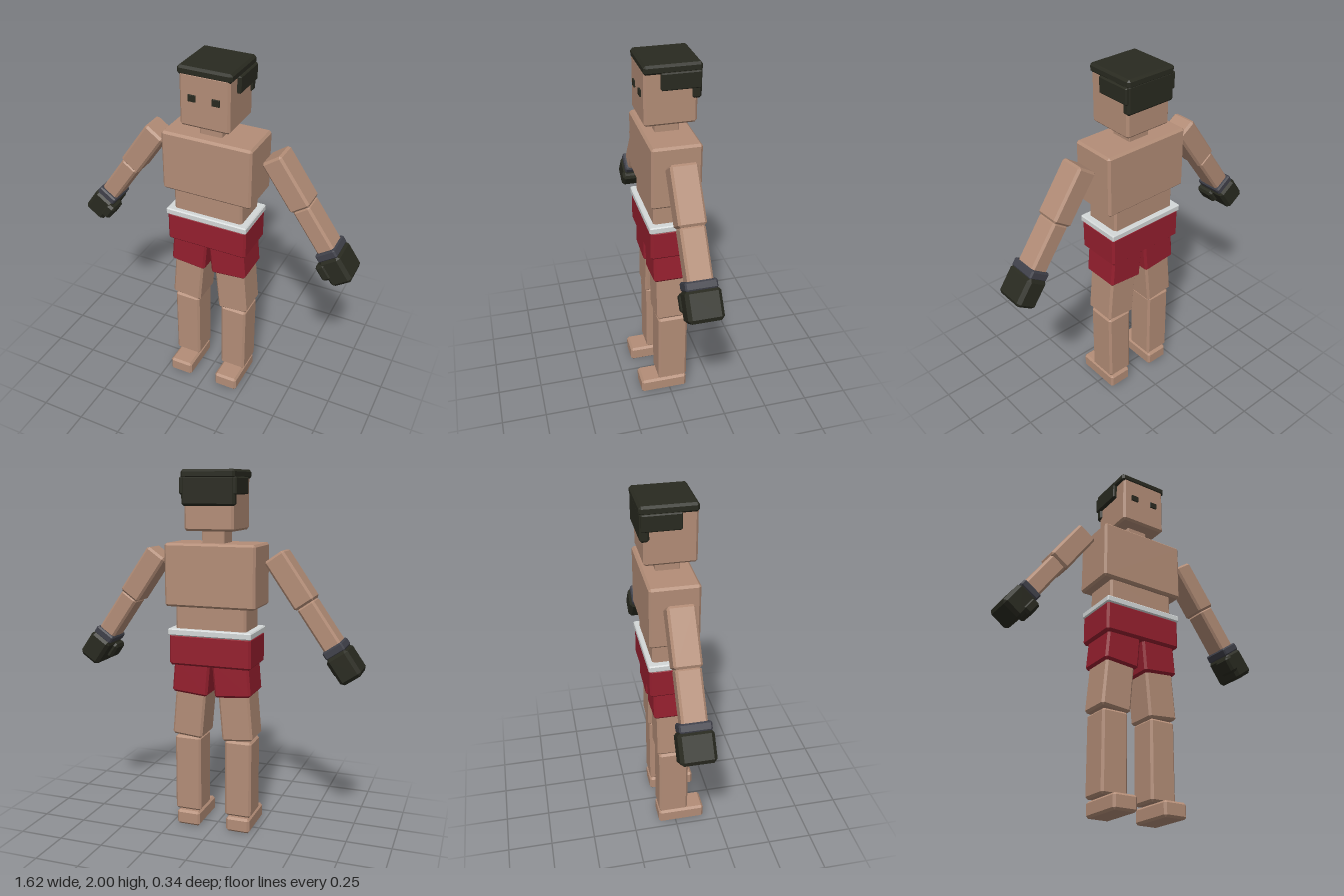
import * as THREE from 'three';
import { ConvexGeometry } from 'three/addons/geometries/ConvexGeometry.js';

const colour = (name, color) => {
  const m = new THREE.MeshStandardMaterial({ color });
  m.name = name;
  return m;
};

// Box with chamfered edges: three points for each of the eight corners
function chamferBox(w, h, d, c) {
  const points = [];
  for (const x of [-1, 1]) for (const y of [-1, 1]) for (const z of [-1, 1])
    for (let flat = 0; flat < 3; flat++) {
      points.push(new THREE.Vector3(
        x * (w / 2 - (flat === 0 ? 0 : c)),
        y * (h / 2 - (flat === 1 ? 0 : c)),
        z * (d / 2 - (flat === 2 ? 0 : c))));
    }
  return new ConvexGeometry(points);
}

export function createModel() {
  const skin = colour('skin', 0xb38d77);
  const red = colour('shorts red', 0x951f2e);
  const white = colour('waistband white', 0xd4d8d8);
  const dark = colour('hair and glove dark', 0x292a20);
  const grey = colour('cuff grey', 0x40414a);

  const model = new THREE.Group();
  model.name = 'boxer';

  // Adds a part from its extents along x, y and z
  function part(parent, name, material, [x0, x1], [y0, y1], [z0, z1], bevel = 0.012) {
    const mesh = new THREE.Mesh(chamferBox(x1 - x0, y1 - y0, z1 - z0, bevel), material);
    mesh.position.set((x0 + x1) / 2, (y0 + y1) / 2, (z0 + z1) / 2);
    mesh.name = name;
    parent.add(mesh);
    return mesh;
  }
  // Same, with the x extents mirrored for side s
  const sided = (s, a, b) => (s > 0 ? [a, b] : [-b, -a]);

  // Head and hair
  part(model, 'head', skin, [-0.137, 0.137], [1.685, 1.97], [-0.152, 0.121]);
  part(model, 'hairTop', dark, [-0.148, 0.148], [1.952, 2], [-0.172, 0.123]);
  part(model, 'hairBack', dark, [-0.147, 0.147], [1.815, 1.97], [-0.17, -0.12]);
  part(model, 'neck', skin, [-0.063, 0.063], [1.6, 1.7], [-0.08, 0.048], 0.004);

  // Trunk
  part(model, 'chest', skin, [-0.255, 0.255], [1.28, 1.62], [-0.15, 0.114]);
  part(model, 'waist', skin, [-0.2, 0.2], [1.14, 1.29], [-0.127, 0.092]);
  part(model, 'waistband', white, [-0.237, 0.237], [1.122, 1.16], [-0.153, 0.12], 0.006);
  part(model, 'shorts', red, [-0.233, 0.233], [0.957, 1.13], [-0.147, 0.114]);

  for (const s of [-1, 1]) {
    const side = s > 0 ? 'left' : 'right';

    // Side hair and eye
    part(model, side + 'HairSide', dark, sided(s, 0.12, 0.158), [1.873, 1.962], [-0.165, 0.038], 0.006);
    part(model, side + 'Eye', dark, sided(s, 0.044, 0.086), [1.826, 1.861], [0.1205, 0.129], 0.001);

    // Upper leg, leaning outwards towards the knee
    const upperLeg = new THREE.Group();
    upperLeg.name = side + 'UpperLeg';
    upperLeg.position.set(s * 0.148, 0.542, 0);
    upperLeg.rotation.z = s * 0.09;
    model.add(upperLeg);
    part(upperLeg, 'thigh', skin, [-0.088, 0.088], [0, 0.36], [-0.108, 0.079]);
    part(upperLeg, 'shortsLeg', red, [-0.103, 0.103], [0.252, 0.45], [-0.125, 0.095]);

    // Lower leg
    part(model, side + 'Shin', skin, sided(s, 0.072, 0.225), [0.094, 0.537], [-0.098, 0.07]);
    part(model, side + 'Foot', skin, sided(s, 0.08, 0.218), [0, 0.085], [-0.1, 0.17]);

    // Arm, hanging down local -y from the shoulder
    const arm = new THREE.Group();
    arm.name = side + 'Arm';
    arm.position.set(s * 0.33, 1.561, 0);
    arm.rotation.z = s * THREE.MathUtils.degToRad(35);
    model.add(arm);
    part(arm, 'upperArm', skin, [-0.061, 0.061], [-0.302, 0], [-0.088, 0.055]);
    part(arm, 'forearm', skin, [-0.051, 0.051], [-0.57, -0.298], [-0.081, 0.049]);
    part(arm, 'gloveCuff', grey, [-0.059, 0.059], [-0.605, -0.558], [-0.097, 0.066], 0.008);
    part(arm, 'glove', dark, [-0.064, 0.064], [-0.76, -0.598], [-0.109, 0.073], 0.018);
    part(arm, 'gloveThumb', dark, sided(s, -0.09, -0.03), [-0.71, -0.612], [-0.03, 0.08], 0.014);
  }
  return model;
}
